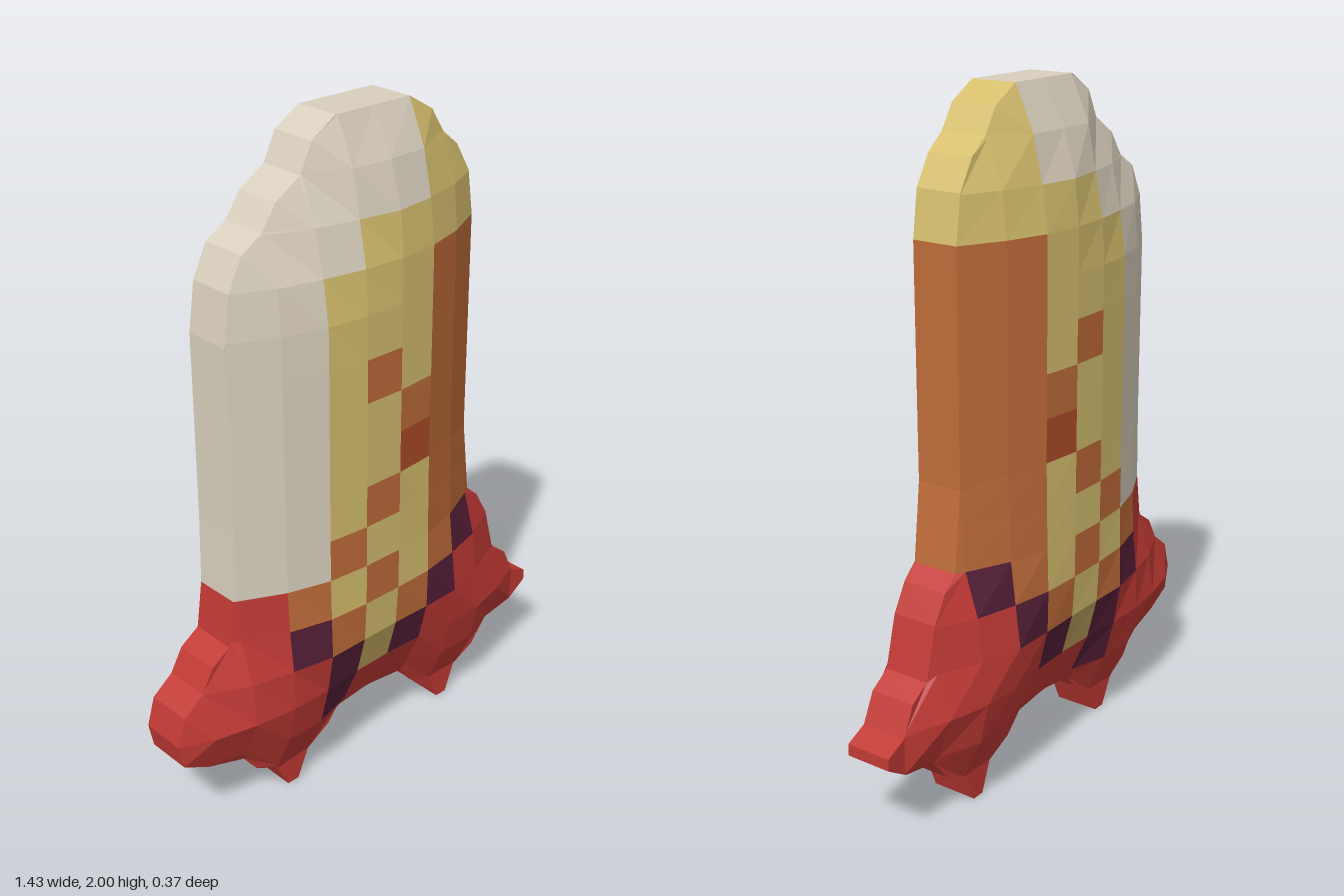
import * as THREE from 'three';

// Silhouette, clockwise seen from the front
const OUTLINE = [
  [-.12, 2], [.14, 2], [.225, 1.95], [.27, 1.88], [.325, 1.835], [.375, 1.75], [.394, 1.619],
  [.394, .96], [.42, .73], [.465, .69], [.51, .61], [.55, .46], [.61, .42], [.65, .335],
  [.715, .305], [.715, .27], [.645, .225], [.53, .205], [.47, .13], [.385, .09], [.35, 0],
  [.31, 0], [.275, .09], [.185, .13], [.14, .185], [0, .2], [-.125, .185], [-.16, .14],
  [-.245, .09], [-.285, 0], [-.325, 0], [-.37, .085], [-.445, .125], [-.49, .185],
  [-.615, .225], [-.7, .27], [-.715, .345], [-.69, .43], [-.625, .48], [-.585, .55],
  [-.525, .59], [-.505, .73], [-.5, .94], [-.5, 1.48], [-.48, 1.619], [-.435, 1.71],
  [-.37, 1.75], [-.32, 1.82], [-.24, 1.87], [-.2, 1.95],
];

// Colour squares, top row first
const SQUARES = [
  'CCCCCCCYYYYY',
  'CCCCCCCYYYYY',
  'CCCCCYYYYYYY',
  'CCCCYYYOOOOO',
  'CCCCYYYOOOOO',
  'CCCCYOYOOOOO',
  'CCCCYYOOOOOO',
  'CCCCYYSOOOOO',
  'CCCCYOYOOOOO',
  'CCCCOYYOOOOO',
  'RRROYOYOPRRR',
  'RRRPOYOPRRRR',
  'RRRRPTPRRRRR',
  'RRRRPRRRRRRR',
  'RRRRRRRRRRRR',
  'RRRRRRRRRRRR',
];
const PARTS = {
  C: ['creamShell', 'cream', 0xd9cfbd],
  Y: ['yellowPanel', 'yellow', 0xd6bf6e],
  O: ['orangePanel', 'orange', 0xc06c3a],
  S: ['rustSpot', 'rust', 0xb04c2a],
  R: ['redBase', 'red', 0xc23a35],
  P: ['purpleTrim', 'purple', 0x561f38],
  T: ['tanTip', 'tan', 0xbfa25c],
};
const CELL = .127, LEFT = .013 - 6 * CELL, TOP = 2, RIM = .07;

// Distance from a point to the silhouette
function edgeDistance(x, y) {
  let best = Infinity;
  OUTLINE.forEach(([ax, ay], i) => {
    const [bx, by] = OUTLINE[(i + 1) % OUTLINE.length];
    const dx = bx - ax, dy = by - ay;
    const t = THREE.MathUtils.clamp(((x - ax) * dx + (y - ay) * dy) / (dx * dx + dy * dy), 0, 1);
    best = Math.min(best, Math.hypot(x - ax - t * dx, y - ay - t * dy));
  });
  return best;
}

// Half thickness swells from the rim to the middle
function halfDepth(x, y) {
  const t = Math.min(edgeDistance(x, y) / .38, 1);
  return RIM + .115 * (1 - (1 - t) ** 2);
}

// Keep the part of a polygon where sign * (p[axis] - limit) >= 0
function clip(poly, axis, limit, sign) {
  const out = [];
  poly.forEach((a, i) => {
    const b = poly[(i + 1) % poly.length];
    const da = sign * (a[axis] - limit), db = sign * (b[axis] - limit);
    if (da >= 0) out.push(a);
    if (da * db < 0) {
      const t = da / (da - db);
      out.push([a[0] + t * (b[0] - a[0]), a[1] + t * (b[1] - a[1])]);
    }
  });
  return out;
}

export function createModel() {
  const group = new THREE.Group();
  const positions = Object.fromEntries(Object.keys(PARTS).map(k => [k, []]));

  // Domed front and back faces, square by square
  SQUARES.forEach((row, r) => [...row].forEach((key, c) => {
    const x = LEFT + c * CELL, y = TOP - r * CELL;
    let poly = clip(OUTLINE, 0, x, 1);
    poly = clip(poly, 0, x + CELL, -1);
    poly = clip(poly, 1, y - CELL, 1);
    poly = clip(poly, 1, y, -1);
    const pts = poly
      .filter((p, i) => {
        const q = poly[(i + 1) % poly.length];
        return Math.hypot(p[0] - q[0], p[1] - q[1]) > 1e-5;
      })
      .map(p => new THREE.Vector2(p[0], p[1]));
    if (pts.length < 3) return;
    if (THREE.ShapeUtils.isClockWise(pts)) pts.reverse();
    for (const face of THREE.ShapeUtils.triangulateShape(pts, [])) {
      const tri = face.map(i => pts[i]);
      const area = THREE.ShapeUtils.area(tri);
      if (Math.abs(area) < 1e-7) continue;
      if (area < 0) tri.reverse();
      for (const p of tri) positions[key].push(p.x, p.y, halfDepth(p.x, p.y));
      for (const p of tri.reverse()) positions[key].push(p.x, p.y, -halfDepth(p.x, p.y));
    }
  }));

  // Straight rim joining front and back
  OUTLINE.forEach((a, i) => {
    const b = OUTLINE[(i + 1) % OUTLINE.length];
    const c = Math.floor(((a[0] + b[0]) / 2 - LEFT) / CELL);
    const r = Math.floor((TOP - (a[1] + b[1]) / 2) / CELL);
    const key = SQUARES[r][c];
    positions[key].push(
      ...a, RIM, ...b, RIM, ...b, -RIM,
      ...a, RIM, ...b, -RIM, ...a, -RIM,
    );
  });

  // One mesh per coloured part
  for (const [key, [partName, colourName, color]] of Object.entries(PARTS)) {
    const geometry = new THREE.BufferGeometry();
    geometry.setAttribute('position', new THREE.Float32BufferAttribute(positions[key], 3));
    geometry.computeVertexNormals();
    const material = new THREE.MeshStandardMaterial({ color, flatShading: true });
    material.name = colourName;
    const mesh = new THREE.Mesh(geometry, material);
    mesh.name = partName;
    group.add(mesh);
  }
  return group;
}
